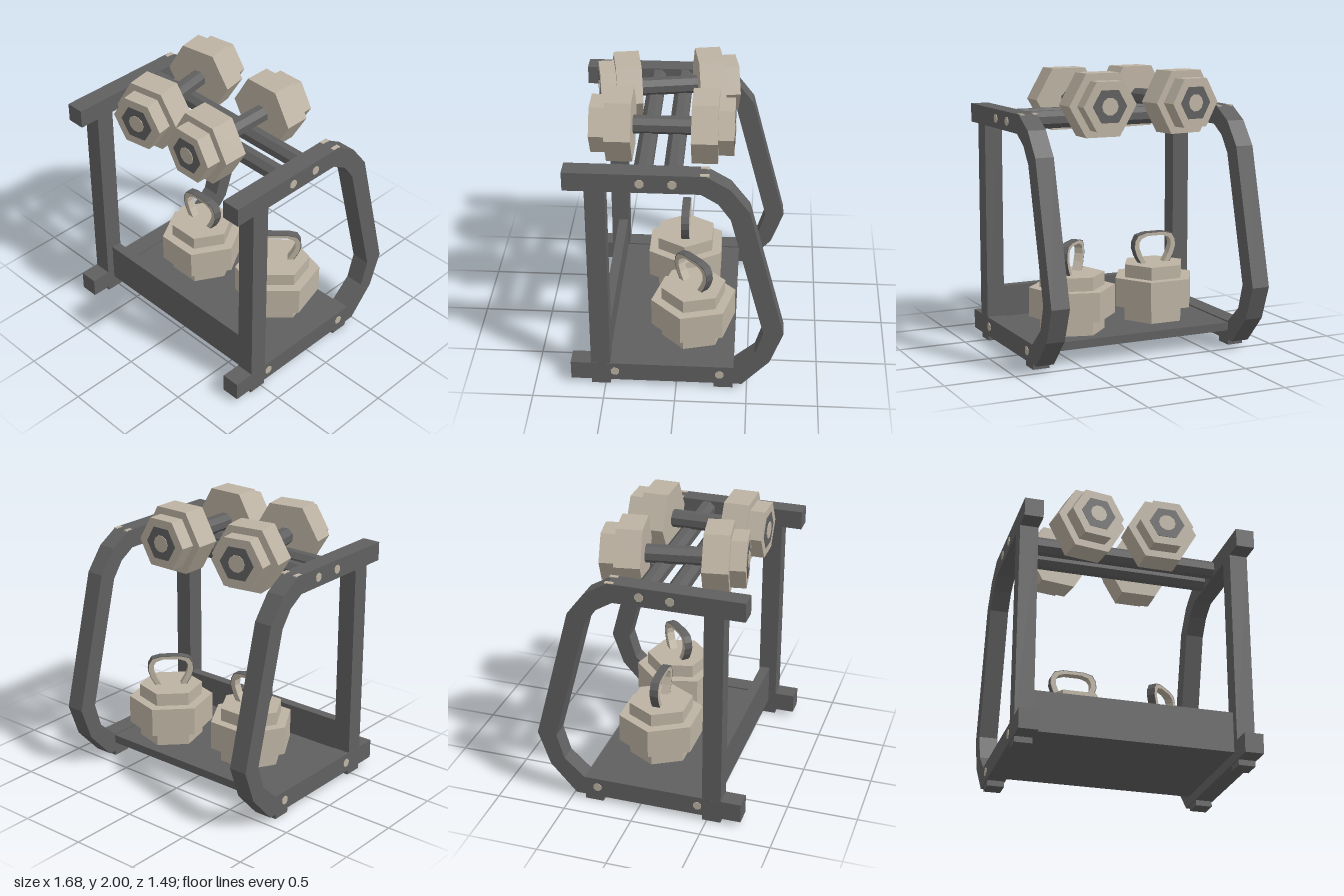
import * as THREE from 'three';

export function createModel() {
  const root = new THREE.Group();
  const steel = new THREE.MeshStandardMaterial({ color: 0x606060 });
  steel.name = 'darkSteel';
  const iron = new THREE.MeshStandardMaterial({ color: 0xbdb3a3 });
  iron.name = 'paleIron';

  const add = (parent, name, geo, mat, x = 0, y = 0, z = 0) => {
    const m = new THREE.Mesh(geo, mat);
    m.name = name;
    m.position.set(x, y, z);
    parent.add(m);
    return m;
  };
  const group = (name, x, y, z, turn) => {
    const g = new THREE.Group();
    g.name = name;
    g.position.set(x, y, z);
    g.rotation.y = turn;
    root.add(g);
    return g;
  };
  const box = (w, h, d) => new THREE.BoxGeometry(w, h, d);
  // Faceted upright prism with flats facing the z axis
  const prism = (r, h, sides) => {
    const g = new THREE.CylinderGeometry(r, r, h, sides, 1, false, Math.PI / sides).toNonIndexed();
    g.computeVertexNormals();
    return g;
  };
  const extrude = (pts, depth) => new THREE.ExtrudeGeometry(
    new THREE.Shape(pts.map(p => new THREE.Vector2(p[0], p[1]))),
    { depth, bevelEnabled: false }).translate(0, 0, -depth / 2);

  // Bent side frames, as [back, up] outlines
  const outline = [
    [-0.745, 0.04], [0.465, 0.04], [0.655, 0.245], [0.745, 0.49], [0.49, 1.47],
    [0.36, 1.64], [0.2, 1.735], [-0.745, 1.735], [-0.745, 1.6], [0.165, 1.6],
    [0.28, 1.53], [0.365, 1.41], [0.605, 0.49], [0.55, 0.31], [0.405, 0.18], [-0.745, 0.18],
  ];
  const frameGeo = extrude(outline, 0.133).rotateY(Math.PI / 2);
  const boltGeo = prism(0.032, 0.008, 8).rotateZ(Math.PI / 2);
  for (const s of [-1, 1]) {
    const side = s > 0 ? 'left' : 'right';
    add(root, side + 'SideFrame', frameGeo, steel, s * 0.768);
    add(root, side + 'FrontPost', box(0.13, 1.42, 0.135), steel, s * 0.768, 0.89, 0.533);
    for (const z of [0.533, -0.333])
      add(root, side + 'Foot', box(0.12, 0.04, 0.135), steel, s * 0.768, 0.02, z);
    for (const [y, z] of [[1.668, 0.235], [1.668, 0.022], [0.113, 0.432], [0.113, -0.307]])
      add(root, side + 'Bolt', boltGeo, iron, s * 0.835, y, z);
    // Small fixings on the top bend
    for (const x of [0.717, 0.815])
      add(root, side + 'TopFixing', box(0.03, 0.008, 0.06), iron, s * x, 1.734, -0.19);
  }

  // Tray
  add(root, 'trayFloor', box(1.404, 0.06, 0.95), steel, 0, 0.14, 0.07);
  add(root, 'trayFrontPanel', box(1.404, 0.29, 0.07), steel, 0, 0.255, 0.51);

  // Support bars
  for (const z of [0.025, 0.225])
    add(root, 'supportBar', prism(0.066, 1.404, 8).rotateZ(Math.PI / 2), steel, 0, 1.668, z);

  // Dumbbells
  const zPrism = (r, h, n) => prism(r, h, n).rotateX(Math.PI / 2);
  const dumbbell = (name, x, turn) => {
    const g = group(name, x, 1.778, 0.122, turn);
    add(g, 'grip', zPrism(0.064, 0.42, 8), steel);
    for (const s of [-1, 1]) {
      add(g, 'largePlate', zPrism(0.257, 0.18, 6), iron, 0, 0, s * 0.293);
      add(g, 'smallPlate', zPrism(0.198, 0.11, 6), iron, 0, 0, s * 0.437);
      add(g, 'endHexagon', zPrism(0.13, 0.006, 6), steel, 0, 0, s * 0.492);
      add(g, 'endCap', zPrism(0.062, 0.006, 10), iron, 0, 0, s * 0.496);
    }
  };
  dumbbell('leftDumbbell', 0.23, 0);
  dumbbell('rightDumbbell', -0.357, 0.17);

  // Kettlebells: stacked hexagons with a band handle
  const half = [[0.11, 0.58], [0.145, 0.64], [0.165, 0.7], [0.16, 0.75], [0.135, 0.79], [0.07, 0.807]];
  const inner = [[0.07, 0.58], [0.107, 0.645], [0.128, 0.7], [0.127, 0.74], [0.108, 0.768], [0.06, 0.785]];
  const arch = pts => [...pts, ...pts.map(p => [-p[0], p[1]]).reverse()];
  const skin = half.map(([x, y]) => [x + 0.005, y + (y > 0.78 ? 0.004 : 0)]);
  const band = (outer, under, depth) => extrude([...arch(outer), ...arch(under).reverse()], depth);
  const kettlebell = (name, x, z, turn) => {
    const g = group(name, x, 0, z, turn);
    add(g, 'base', prism(0.233, 0.12, 6), iron, 0, 0.225);
    add(g, 'body', prism(0.309, 0.21, 6), iron, 0, 0.385);
    add(g, 'cap', prism(0.233, 0.096, 6), iron, 0, 0.537);
    add(g, 'handle', band(half, inner, 0.06), iron);
    add(g, 'handleOuterFace', band(skin, half, 0.06), steel);
  };
  kettlebell('leftKettlebell', 0.402, -0.1, Math.PI / 4);
  kettlebell('rightKettlebell', -0.292, -0.008, 0);

  return root;
}
